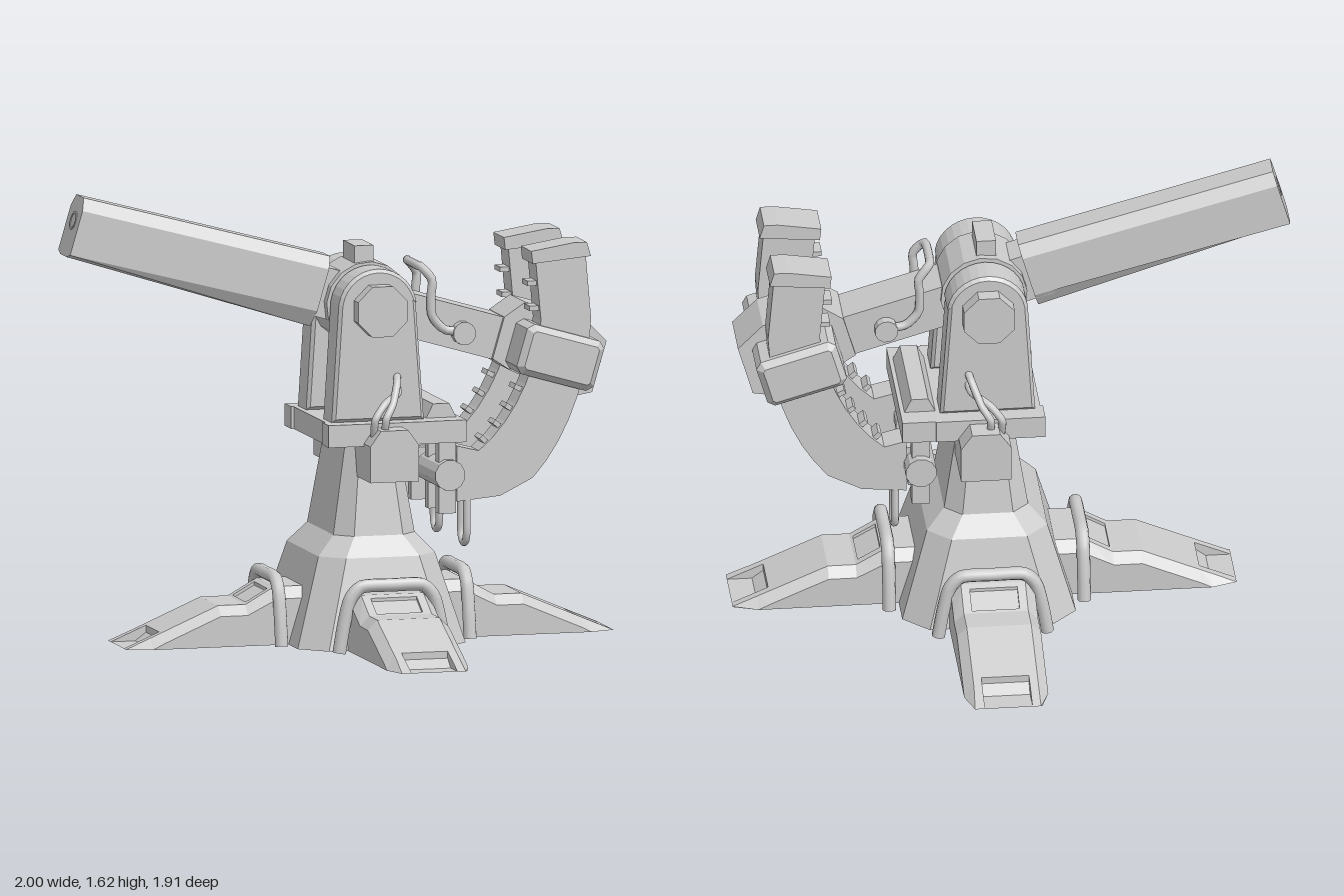
import * as THREE from 'three';

const solid = new THREE.MeshStandardMaterial({ color: 0xcccccc, flatShading: true });
const shell = new THREE.MeshStandardMaterial({ color: 0xcccccc, flatShading: true, side: THREE.DoubleSide });
const smooth = new THREE.MeshStandardMaterial({ color: 0xcccccc });
const CX = 0.1; // x of the tower axis

function add(parent, name, geometry, material = solid, x = 0, y = 0, z = 0) {
  const m = new THREE.Mesh(geometry, material);
  m.name = name;
  m.position.set(x, y, z);
  parent.add(m);
  return m;
}

// box given by its min and max corners
function box(parent, name, [x0, y0, z0], [x1, y1, z1]) {
  return add(parent, name, new THREE.BoxGeometry(x1 - x0, y1 - y0, z1 - z0), solid,
    (x0 + x1) / 2, (y0 + y1) / 2, (z0 + z1) / 2);
}

// skin over rings of [x, y, z] points
function loft(rings, closed, capped) {
  const pos = [], n = rings[0].length;
  for (let r = 0; r < rings.length - 1; r++) {
    for (let i = 0; i < (closed ? n : n - 1); i++) {
      const j = (i + 1) % n, a = rings[r], b = rings[r + 1];
      pos.push(...a[i], ...a[j], ...b[j], ...a[i], ...b[j], ...b[i]);
    }
  }
  const ends = capped === 'both' ? [rings[0], rings.at(-1)] : capped === 'last' ? [rings.at(-1)] : [];
  for (const c of ends) for (let i = 1; i < n - 1; i++) pos.push(...c[0], ...c[i], ...c[i + 1]);
  const g = new THREE.BufferGeometry();
  g.setAttribute('position', new THREE.Float32BufferAttribute(pos, 3));
  g.computeVertexNormals();
  return g;
}

const poly = pts => new THREE.Shape(pts.map(p => new THREE.Vector2(...p)));

// side profile extruded from z0 to z1, bevel kept inside that span
function plate(parent, name, shape, z0, z1, bevel = 0) {
  const g = new THREE.ExtrudeGeometry(shape, {
    depth: z1 - z0 - 2 * bevel, curveSegments: 7, bevelEnabled: bevel > 0,
    bevelThickness: bevel, bevelSize: bevel, bevelOffset: -bevel, bevelSegments: 1
  });
  return add(parent, name, g, solid, 0, 0, z0 + bevel);
}

function tube(parent, name, pts, r, tension = 0.35) {
  const c = new THREE.CatmullRomCurve3(pts.map(p => new THREE.Vector3(...p)), false, 'catmullrom', tension);
  return add(parent, name, new THREE.TubeGeometry(c, 40, r, 10), smooth);
}

// cylinder along z
function pin(parent, name, x, y, z0, z1, r, sides = 12) {
  const g = new THREE.CylinderGeometry(r, r, z1 - z0, sides).rotateY(Math.PI / sides).rotateX(Math.PI / 2);
  return add(parent, name, g, solid, x, y, (z0 + z1) / 2);
}

// hollow leg running along +x, with a notch at the tip and on the upper slope
function legGeometry(ext) {
  const stations = [ // distance, top, side height, half width, notch depth
    [0.9, 0, 0, 0.12, 0], [0.81, 0.038, 0, 0.15, 0.038], [0.77, 0.055, 0.02, 0.15, 0.025],
    [0.77, 0.055, 0.02, 0.15, 0], [0.56, 0.145, 0.11, 0.15, 0], [0.46, 0.145, 0.11, 0.15, 0],
    [0.45, 0.15, 0.115, 0.15, 0], [0.45, 0.15, 0.115, 0.15, 0.012], [0.37, 0.195, 0.155, 0.15, 0.012],
    [0.37, 0.195, 0.155, 0.15, 0], [0.35, 0.205, 0.165, 0.15, 0], [0.2, 0.205, 0.165, 0.15, 0]];
  return loft(stations.map(([s, y, side, w, dip]) => {
    const half = [[w, 0], [w, side], [0.115, y], [0.085, y], [0.085, y - dip]];
    const across = [...half, ...half.map(([z, h]) => [-z, h]).reverse()];
    return across.map(([z, h]) => [s + ext, h, z]);
  }), false);
}

export function createModel() {
  const model = new THREE.Group();
  model.name = 'gunTurret';

  // four legs, each with a tubular guard hoop
  for (let i = 0; i < 4; i++) {
    const ext = i % 2 ? 0.055 : 0, d = 0.348 + ext;
    const leg = new THREE.Group();
    leg.name = 'leg';
    leg.position.x = CX;
    leg.rotation.y = i * Math.PI / 2;
    add(leg, 'legShell', legGeometry(ext), shell);
    tube(leg, 'legHoop', [[d, 0, 0.195], [d, 0.1, 0.178], [d, 0.19, 0.155], [d, 0.235, 0.11], [d, 0.237, 0],
      [d, 0.235, -0.11], [d, 0.19, -0.155], [d, 0.1, -0.178], [d, 0, -0.195]], 0.024);
    model.add(leg);
  }

  // tapering tower with cut corners
  const tower = [[0, 0.31, 0.36, 0.09], [0.32, 0.215, 0.285, 0.08], [0.39, 0.15, 0.23, 0.06],
    [0.76, 0.09, 0.175, 0.04], [0.86, 0.08, 0.1, 0.03]];
  add(model, 'tower', loft(tower.map(([y, a, b, c]) => [[a, b - c], [a - c, b], [c - a, b], [-a, b - c],
    [-a, c - b], [c - a, -b], [a - c, -b], [a, c - b]].map(([x, z]) => [x + CX, y, z])), true, 'last'), shell);

  // yoke floor and cross beam
  box(model, 'yokeFloor', [-0.09, 0.72, -0.22], [0.29, 0.8, 0.22]);
  box(model, 'crossBeam', [0.29, 0.72, -0.28], [0.41, 0.8, 0.28]);
  plate(model, 'beamCap', poly([[0.285, 0.8], [0.395, 0.8], [0.37, 0.85], [0.31, 0.85]]), -0.2, 0.2);

  // parts that repeat on both sides
  for (const s of [1, -1]) {
    const side = new THREE.Group();
    side.name = s > 0 ? 'leftSide' : 'rightSide';
    const span = (a, b) => s > 0 ? [a, b] : [-b, -a];

    const arm = new THREE.Shape();
    arm.moveTo(-0.07, 0.8);
    arm.lineTo(0.27, 0.8);
    arm.lineTo(0.24, 1.22);
    arm.absarc(CX, 1.2, 0.145, 0.14, Math.PI - 0.14, false);
    plate(side, 'yokeArm', arm, ...span(0.1, 0.23), 0.012);
    pin(side, 'pivotNut', CX, 1.2, ...span(0.22, 0.285), 0.098, 8);
    const [b0, b1] = span(0.2, 0.285);
    box(side, 'sideBar', [-0.1, 0.72, b0], [0.29, 0.8, b1]);
    plate(side, 'sideMotor', poly([[0.03, 0.6], [0.21, 0.6], [0.21, 0.73], [0.17, 0.785], [0.07, 0.785], [0.03, 0.73]]),
      ...span(0.15, 0.37));
    for (const k of [0, 1]) {
      tube(side, 'cable', [[0.06 + 0.04 * k, 0.76, 0.31 * s], [0.06 + 0.04 * k, 0.82, 0.33 * s],
        [0.1 + 0.03 * k, 0.87, 0.31 * s], [0.16, 0.9 + 0.04 * k, 0.26 * s], [0.17, 0.92 + 0.04 * k, 0.22 * s]], 0.014);
    }

    // curved magazine
    const mag = new THREE.Shape();
    mag.moveTo(0.39, 0.5);
    mag.lineTo(0.55, 0.515);
    mag.lineTo(0.67, 0.575);
    mag.bezierCurveTo(0.79, 0.7, 0.88, 0.92, 0.885, 1.14);
    mag.lineTo(0.865, 1.37);
    mag.lineTo(0.68, 1.36);
    mag.lineTo(0.7, 1.14);
    mag.bezierCurveTo(0.69, 0.96, 0.59, 0.77, 0.47, 0.68);
    mag.lineTo(0.39, 0.7);
    plate(side, 'magazine', mag, ...span(0.125, 0.23));
    plate(side, 'magazineCap', poly([[0.665, 1.345], [0.88, 1.365], [0.865, 1.415], [0.815, 1.415], [0.66, 1.39]]),
      ...span(0.108, 0.247));
    // ribs on the inner curve
    const ribs = [[0.685, 1.27, 0], [0.692, 1.18, 0], [0.635, 0.89, -0.45], [0.6, 0.82, -0.6],
      [0.555, 0.76, -0.7], [0.505, 0.705, -0.8]];
    for (const [x, y, a] of ribs) {
      add(side, 'magazineRib', new THREE.BoxGeometry(0.06, 0.018, 0.07), solid, x, y, 0.178 * s).rotation.z = a;
    }

    // feed joint under the magazine
    pin(side, 'feedRoller', 0.345, 0.605, ...span(0.05, 0.3), 0.056);
    for (const [a, c] of [[0.09, 0.13], [0.225, 0.27]]) {
      const [z0, z1] = span(a, c);
      box(side, 'feedBracket', [0.312, 0.465, z0], [0.375, 0.73, z1]);
    }
    const [f0, f1] = span(0.13, 0.225);
    box(side, 'feedBlock', [0.34, 0.54, f0], [0.4, 0.67, f1]);
    tube(side, 'pullLoop', [[0.43, 0.53, 0.138 * s], [0.43, 0.4, 0.138 * s], [0.43, 0.36, 0.15 * s],
      [0.43, 0.345, 0.177 * s], [0.43, 0.36, 0.204 * s], [0.43, 0.4, 0.216 * s], [0.43, 0.53, 0.216 * s]], 0.014);
    model.add(side);
  }

  // tilting gun, built along its own x axis
  const gun = new THREE.Group();
  gun.name = 'gun';
  gun.position.set(CX, 1.2, 0);
  gun.rotation.z = -0.285;
  model.add(gun);
  const barrelRing = (x, h, low, w = 0.077) => [[0.048, h], [w, h - 0.045], [w, low - h], [0.04, -h],
    [-0.04, -h], [-w, low - h], [-w, h - 0.045], [-0.048, h]].map(([z, y]) => [x, y, z]);
  add(gun, 'barrel', loft([barrelRing(-1.113, 0.11, 0.012), barrelRing(-0.17, 0.13, 0.06)], true, 'both'), shell);
  // muzzle ring around the bore
  add(gun, 'muzzleRing', new THREE.TorusGeometry(0.03, 0.008, 6, 12).rotateY(Math.PI / 2), solid, -1.108, 0.02, 0);
  box(gun, 'barrelNeck', [-0.24, -0.09, -0.065], [-0.05, 0.09, 0.065]);
  pin(gun, 'pivotDrum', 0, 0, -0.1, 0.1, 0.155, 16);
  box(gun, 'rearBeam', [0.08, -0.078, -0.085], [0.54, 0.078, 0.085]);
  plate(gun, 'breechBlock', poly([[0.5, -0.075], [0.58, -0.1], [0.82, -0.135], [0.89, -0.1], [0.89, 0.09],
    [0.78, 0.15], [0.56, 0.15], [0.5, 0.08]]), -0.1, 0.1);
  const clamp = poly([[0.57, -0.092], [0.82, -0.092], [0.843, -0.07], [0.843, 0.07], [0.82, 0.092],
    [0.57, 0.092], [0.547, 0.07], [0.547, -0.07]]);
  for (const z of [[0.08, 0.27], [-0.27, -0.08]]) plate(gun, 'magazineClamp', clamp, ...z, 0.022);

  // sight block on the drum, and the bent carrying handle
  box(model, 'sightBlock', [0.055, 1.3, -0.075], [0.125, 1.41, 0.075]);
  const half = [[0.45, 1.09, 0.1], [0.38, 1.1, 0.1], [0.335, 1.15, 0.1], [0.33, 1.22, 0.1],
    [0.335, 1.28, 0.1], [0.3, 1.325, 0.09], [0.29, 1.33, 0.06]];
  tube(model, 'handle', [...half, ...half.map(([x, y, z]) => [x, y, -z]).reverse()], 0.016);
  pin(model, 'handlePin', 0.45, 1.085, -0.12, 0.12, 0.042);

  return model;
}
